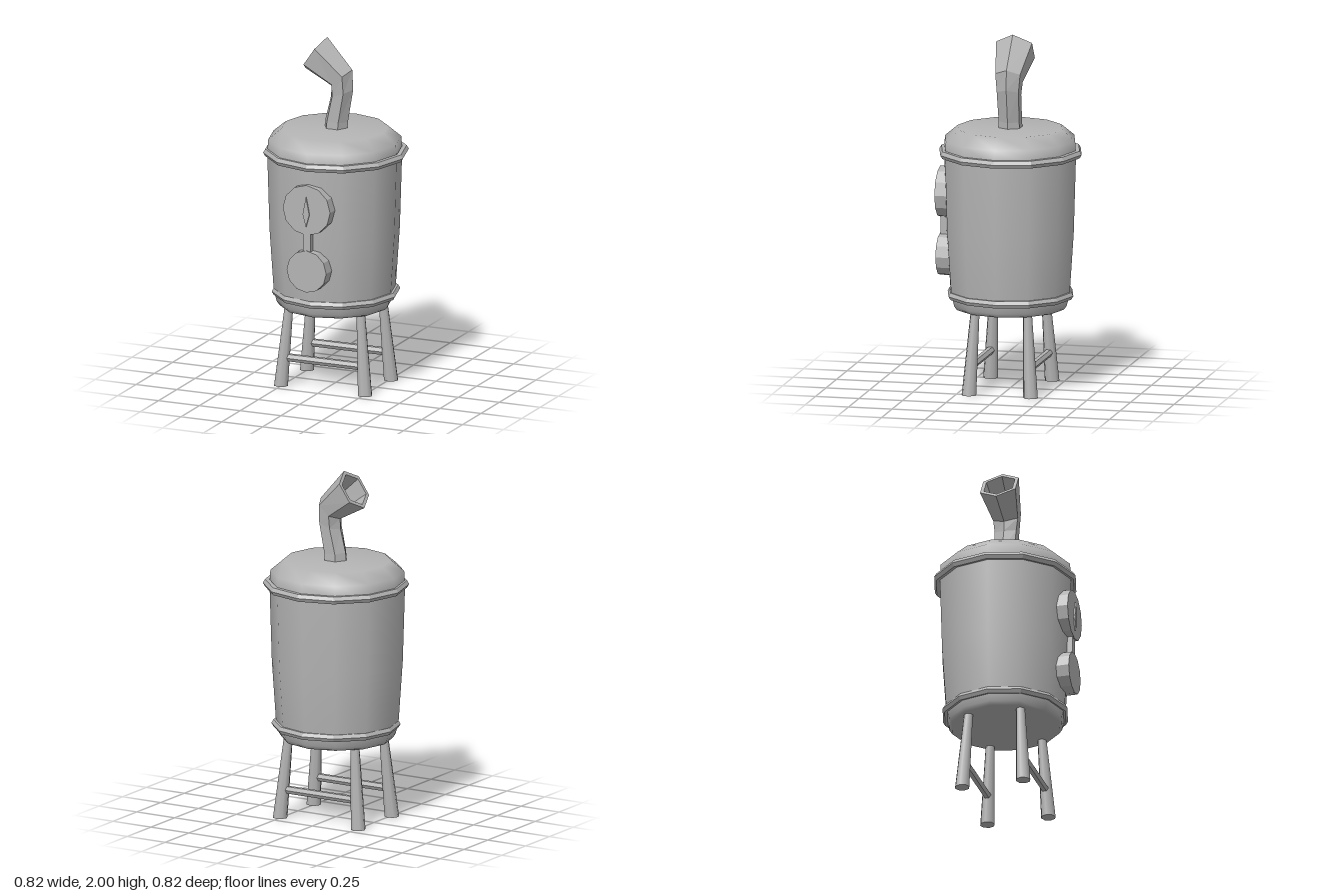
import * as THREE from 'three';

const grey = new THREE.MeshStandardMaterial({ color: 0xb4b4b4 });
grey.name = 'grey metal';

function add(parent, name, geometry, x = 0, y = 0, z = 0) {
  const mesh = new THREE.Mesh(geometry, grey);
  mesh.name = name;
  mesh.position.set(x, y, z);
  parent.add(mesh);
  return mesh;
}

function flat(geometry) {
  const g = geometry.index ? geometry.toNonIndexed() : geometry;
  g.computeVertexNormals();
  return g;
}

// Twelve-sided hoop with a hexagonal section
function hoop(radius, tube) {
  return flat(new THREE.TorusGeometry(radius, tube, 6, 12).rotateX(Math.PI / 2));
}

// Short cylinder facing +z
function disc(radius, depth) {
  return flat(new THREE.CylinderGeometry(radius, radius, depth, 12).rotateX(Math.PI / 2));
}

// Tapered rod between two points
function rod(from, to, r0, r1, sides) {
  const dir = to.clone().sub(from);
  const g = new THREE.CylinderGeometry(r1, r0, dir.length(), sides);
  const turn = new THREE.Quaternion().setFromUnitVectors(new THREE.Vector3(0, 1, 0), dir.clone().normalize());
  g.applyQuaternion(turn);
  const mid = from.clone().add(to).multiplyScalar(0.5);
  return g.translate(mid.x, mid.y, mid.z);
}

// Hexagonal pipe; each section runs from its left corner to its right corner
function pipe(sections) {
  const sides = 6;
  const rings = sections.map(([x0, y0, x1, y1]) => {
    const cx = (x0 + x1) / 2, cy = (y0 + y1) / 2;
    const ux = (x1 - x0) / 2, uy = (y1 - y0) / 2, r = Math.hypot(ux, uy);
    return Array.from({ length: sides }, (_, i) => {
      const a = (i / sides) * Math.PI * 2;
      return [cx + ux * Math.cos(a), cy + uy * Math.cos(a), r * Math.sin(a)];
    });
  });
  const pos = [];
  for (let k = 0; k < rings.length - 1; k++) {
    for (let i = 0; i < sides; i++) {
      const j = (i + 1) % sides;
      const a = rings[k][i], b = rings[k][j], c = rings[k + 1][j], d = rings[k + 1][i];
      pos.push(...a, ...d, ...b, ...b, ...d, ...c);
    }
  }
  const g = new THREE.BufferGeometry();
  g.setAttribute('position', new THREE.Float32BufferAttribute(pos, 3));
  g.computeVertexNormals();
  return g;
}

export function createModel() {
  const model = new THREE.Group();
  model.name = 'boiler';

  // Tank: floor, tapering wall and domed lid in one smooth profile
  const profile = [
    [0, 0.458], [0.31, 0.458], [0.325, 0.48], [0.342, 0.54], [0.366, 0.9],
    [0.379, 1.34], [0.374, 1.42], [0.3, 1.482], [0, 1.486],
  ].map(([r, y]) => new THREE.Vector2(r, y));
  add(model, 'tank', new THREE.LatheGeometry(profile, 12), -0.006, 0, 0.004);

  // Hoops
  add(model, 'upperHoop', hoop(0.385, 0.024), 0, 1.345, 0);
  add(model, 'lowerHoop', hoop(0.338, 0.023), 0, 0.538, 0);

  // Bent chimney with a flared, hollow mouth
  add(model, 'chimney', pipe([
    [-0.07, 1.46, 0.07, 1.46],
    [-0.063, 1.53, 0.073, 1.52],
    [-0.03, 1.66, 0.105, 1.71],
    [-0.027, 1.72, 0.1, 1.825],
    [-0.187, 1.804, -0.053, 2.0],
    [-0.174, 1.823, -0.066, 1.981],
    [-0.04, 1.735, 0.06, 1.85],
    [0.02, 1.785, 0.02, 1.785],
  ]));

  // Gauge, connecting strip and lower cover
  const gauge = new THREE.Group();
  gauge.name = 'gauge';
  model.add(gauge);
  add(gauge, 'dial', disc(0.145, 0.08), 0, 1.102, 0.363);
  add(gauge, 'cover', disc(0.121, 0.08), 0, 0.746, 0.363);
  add(gauge, 'strip', new THREE.BoxGeometry(0.045, 0.14, 0.06), 0, 0.912, 0.368);
  const needle = new THREE.Shape([
    new THREE.Vector2(0, 0.08), new THREE.Vector2(-0.02, -0.02),
    new THREE.Vector2(0, -0.093), new THREE.Vector2(0.02, -0.02),
  ]);
  add(gauge, 'needle', new THREE.ExtrudeGeometry(needle, { depth: 0.009, bevelEnabled: false }), 0, 1.1, 0.402);

  // Splayed legs with a rail between each pair
  for (const s of [1, -1]) {
    for (const side of [1, -1]) {
      const foot = new THREE.Vector3(side * 0.257, 0, s * 0.177);
      const top = new THREE.Vector3(side * 0.218, 0.48, s * 0.15);
      const leg = rod(foot, top, 0.042, 0.025, 8);
      // Level the foot on the ground
      const p = leg.attributes.position;
      for (let i = 0; i < p.count; i++) if (p.getY(i) < 0.1) p.setY(i, 0);
      add(model, (s > 0 ? 'front' : 'back') + (side > 0 ? 'LeftLeg' : 'RightLeg'), leg);
    }
    const rail = rod(new THREE.Vector3(-0.235, 0.163, s * 0.167), new THREE.Vector3(0.235, 0.163, s * 0.167), 0.023, 0.023, 6);
    add(model, s > 0 ? 'frontRail' : 'backRail', flat(rail));
  }

  return model;
}
